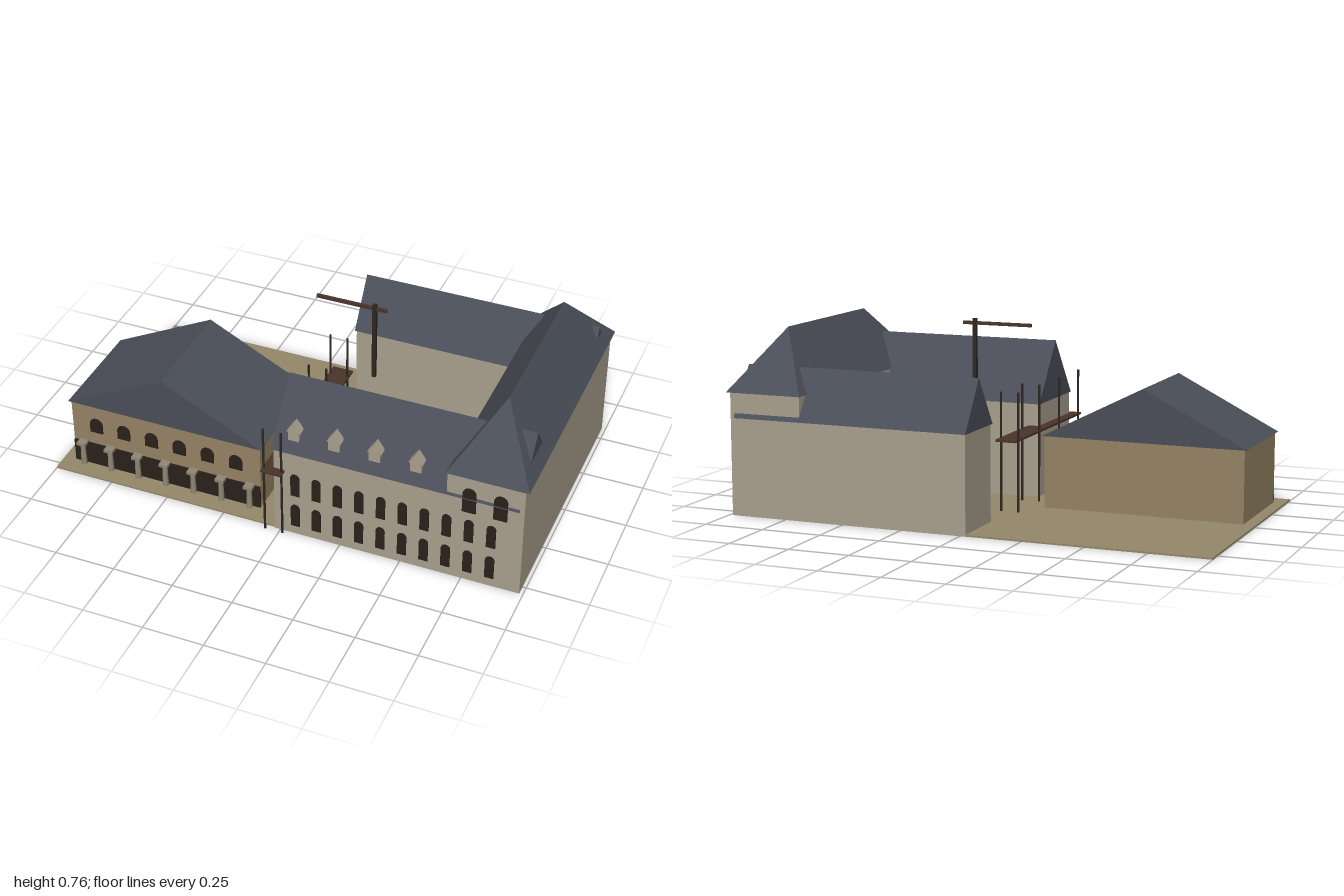
import * as THREE from 'three';
import { ConvexGeometry } from 'three/addons/geometries/ConvexGeometry.js';

const mat = (color, flatShading = true) => new THREE.MeshStandardMaterial({ color, flatShading });
const STONE = mat(0xa89f8c), TAN = mat(0x948264), GROUND = mat(0x94886a), SLATE = mat(0x4a4e58);
const DARK = mat(0x2a2019), WOOD = mat(0x4a342a), IRON = mat(0x2e2620), COLUMN = mat(0x8f8674, false);

export function createModel() {
  const model = new THREE.Group();
  const add = (name, geometry, material) => {
    const mesh = new THREE.Mesh(geometry, material);
    mesh.name = name;
    model.add(mesh);
    return mesh;
  };

  // Box given by its limits on each axis
  const box = (name, [x0, x1], [y0, y1], [z0, z1], material) =>
    add(name, new THREE.BoxGeometry(x1 - x0, y1 - y0, z1 - z0), material)
      .position.set((x0 + x1) / 2, (y0 + y1) / 2, (z0 + z1) / 2);

  // Solid roof: rectangular eaves below a ridge running from a to b, both [x, z]
  const roof = (name, [x0, x1], [z0, z1], eave, top, a, b, material = SLATE) => {
    const v = (x, y, z) => new THREE.Vector3(x, y, z);
    add(name, new ConvexGeometry([
      v(x0, eave, z0), v(x1, eave, z0), v(x1, eave, z1), v(x0, eave, z1),
      v(a[0], top, a[1]), v(b[0], top, b[1]),
    ]), material);
  };

  // Round-headed window plate facing +z
  const arch = (name, x, y0, y1, w, z, depth = 0.01) => {
    const r = w / 2, s = new THREE.Shape();
    s.moveTo(-r, y0);
    s.lineTo(r, y0);
    s.lineTo(r, y1 - r);
    s.absarc(0, y1 - r, r, 0, Math.PI, false);
    s.closePath();
    const g = new THREE.ExtrudeGeometry(s, { depth, bevelEnabled: false, curveSegments: 10 });
    add(name, g, DARK).position.set(x, 0, z - depth);
  };

  // Ground slab
  box('ground', [-1, 0.98], [0, 0.007], [-0.563, 0.535], GROUND);

  // Main building: tall cross wing on the right, two lower wings around the court
  box('crossWingWalls', [0.68, 0.985], [0, 0.495], [-0.565, 0.54], STONE);
  roof('crossWingRoof', [0.674, 1], [-0.573, 0.547], 0.495, 0.738, [0.837, -0.35], [0.837, 0.325]);
  box('frontWingWalls', [-0.024, 0.685], [0, 0.395], [0.19, 0.54], STONE);
  roof('frontWingRoof', [-0.03, 0.966], [0.183, 0.547], 0.395, 0.638, [-0.03, 0.365], [0.966, 0.365]);
  box('backWingWalls', [-0.024, 0.685], [0, 0.395], [-0.565, -0.317], STONE);
  roof('backWingRoof', [-0.03, 0.966], [-0.577, -0.311], 0.395, 0.593, [-0.03, -0.444], [0.966, -0.444]);

  // Front windows in two rows, plus a tall pair on the cross wing
  for (let i = 0; i < 10; i++) {
    const x = 0.0645 + 0.0886 * i;
    arch('lowerWindow', x, 0.04, 0.145, 0.037, 0.544);
    arch('upperWindow', x, 0.19, 0.295, 0.037, 0.544);
  }
  for (const x of [0.77, 0.893]) arch('tallWindow', x, 0.333, 0.445, 0.054, 0.545);

  // Dormers on the front slope
  for (let i = 0; i < 4; i++) {
    const x = 0.05 + 0.1655 * i;
    box('dormerBody', [x - 0.023, x + 0.023], [0.433, 0.48], [0.482, 0.516], STONE);
    roof('dormerRoof', [x - 0.029, x + 0.029], [0.48, 0.519], 0.478, 0.52, [x, 0.48], [x, 0.519], STONE);
  }

  // Low hall with gable roof
  box('hallWalls', [-0.952, -0.122], [0, 0.3], [0.008, 0.452], TAN);
  roof('hallRoof', [-0.963, -0.112], [0, 0.46], 0.3, 0.516, [-0.5375, 0], [-0.5375, 0.46]);
  box('arcadeRecess', [-0.951, -0.123], [0, 0.11], [0.44, 0.458], DARK);
  for (let i = 0; i < 6; i++) arch('hallWindow', -0.845 + 0.1235 * i, 0.17, 0.238, 0.056, 0.457);

  // Arcade columns
  for (let i = 0; i < 7; i++) {
    const x = -0.907 + 0.1235 * i, z = 0.468;
    add('columnShaft', new THREE.CylinderGeometry(0.01, 0.013, 0.105, 12), COLUMN).position.set(x, 0.0525, z);
    box('columnCapital', [x - 0.019, x + 0.019], [0.105, 0.118], [z - 0.019, z + 0.019], COLUMN);
  }

  // Scaffold walkway on four pairs of poles
  box('walkway', [-0.065, 0.021], [0.295, 0.304], [-0.163, 0.577], WOOD);
  for (let i = 0; i < 4; i++) {
    for (const x of [-0.06, 0.014]) {
      add('scaffoldPole', new THREE.CylinderGeometry(0.005, 0.005, 0.49, 8), IRON)
        .position.set(x, 0.245, -0.12 + 0.225 * i);
    }
  }

  // Crane
  box('craneMast', [0.163, 0.179], [0.42, 0.764], [-0.022, -0.006], IRON);
  box('craneJib', [-0.073, 0.222], [0.739, 0.752], [-0.02, -0.008], WOOD);

  return model;
}
